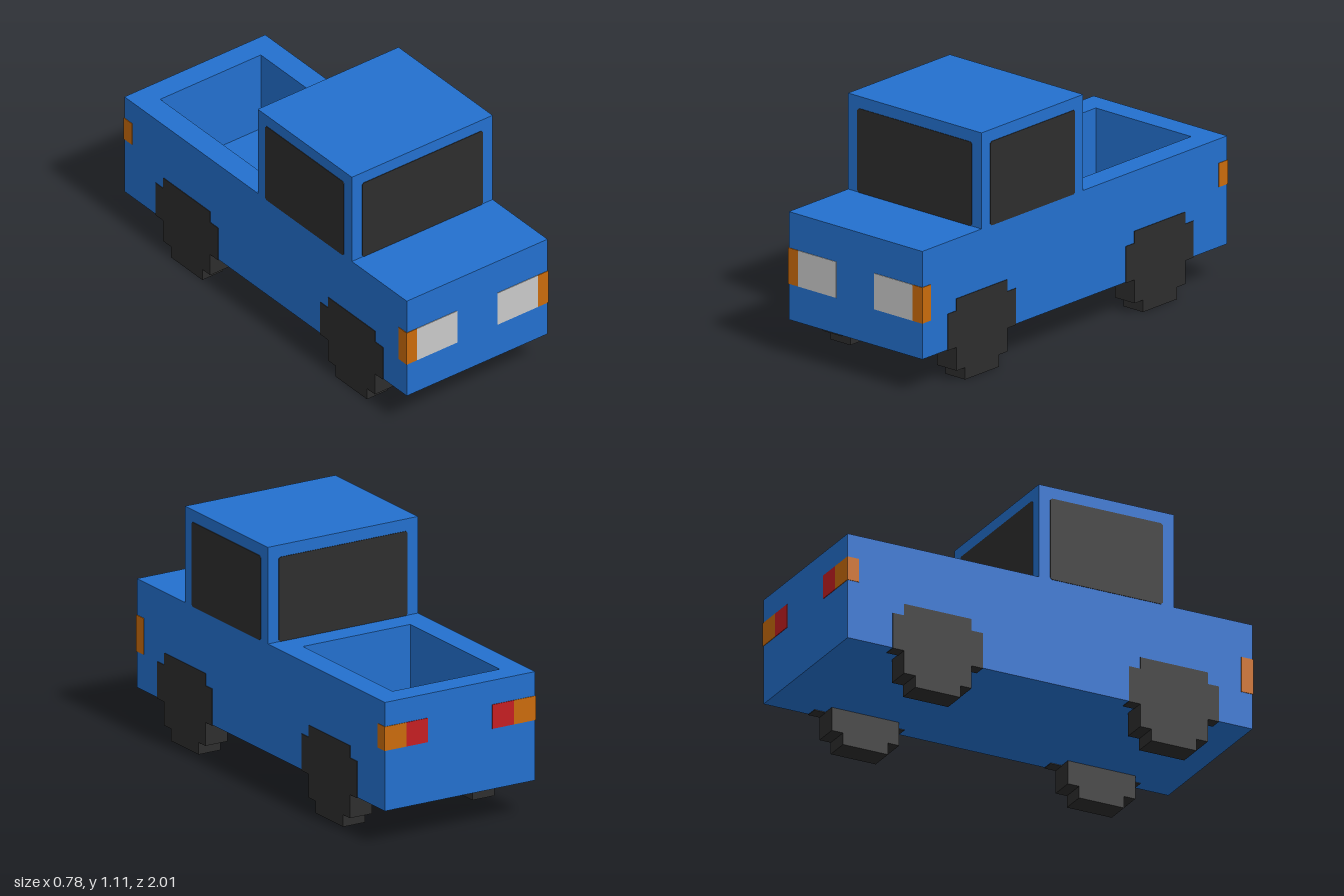
import * as THREE from 'three';

// All part sizes are in pixels of a block grid; 18 pixels make one unit.
const UNIT = 1 / 18;
const SKIN = 0.05; // how far painted plates stand off the surface

const paint = (name, color) => {
  const m = new THREE.MeshStandardMaterial({ color });
  m.name = name;
  return m;
};

export function createModel() {
  const blue = paint('blue body paint', 0x2370ce);
  const dark = paint('dark glass and rubber', 0x2d2d2d);
  const grey = paint('headlight grey', 0xc9c9c9);
  const orange = paint('indicator orange', 0xca6b0c);
  const red = paint('tail light red', 0xc41e22);

  const model = new THREE.Group();
  model.name = 'pickupTruck';
  model.scale.setScalar(UNIT);

  const add = (name, geometry, material, parent = model) => {
    const mesh = new THREE.Mesh(geometry, material);
    mesh.name = name;
    parent.add(mesh);
    return mesh;
  };

  // Box given by its min and max corners
  const block = (name, [x0, y0, z0], [x1, y1, z1], material, parent) => {
    const g = new THREE.BoxGeometry(x1 - x0, y1 - y0, z1 - z0);
    g.translate((x0 + x1) / 2, (y0 + y1) / 2, (z0 + z1) / 2);
    return add(name, g, material, parent);
  };

  // Rectangle with slightly clipped corners
  const windowPane = (name, w, h, place) => {
    const c = 0.15, a = w / 2, b = h / 2;
    const pts = [[-a + c, -b], [a - c, -b], [a, -b + c], [a, b - c],
      [a - c, b], [-a + c, b], [-a, b - c], [-a, -b + c]];
    const shape = new THREE.Shape(pts.map(p => new THREE.Vector2(...p)));
    const pane = add(name, new THREE.ExtrudeGeometry(shape, { depth: SKIN, bevelEnabled: false }), dark);
    pane.position.set(place.x, place.y, place.z);
    pane.rotation.y = place.turn;
  };

  // Lower body, and upper body with the open bed cut out
  block('lowerBody', [-7, 3, -18], [7, 5, 18], blue);
  const rect = (path, x, y0, y1) =>
    path.moveTo(-x, y0).lineTo(x, y0).lineTo(x, y1).lineTo(-x, y1).closePath();
  const deck = rect(new THREE.Shape(), 7, -18, 18);
  deck.holes.push(rect(new THREE.Path(), 5, 3, 16)); // shape y becomes -z
  const deckGeometry = new THREE.ExtrudeGeometry(deck, { depth: 7, bevelEnabled: false });
  deckGeometry.rotateX(-Math.PI / 2).translate(0, 5, 0);
  add('upperBody', deckGeometry, blue);

  // Cab and windows
  block('cab', [-7, 12, -1], [7, 20, 11], blue);
  windowPane('windscreen', 12, 7, { x: 0, y: 15.5, z: 11, turn: 0 });
  windowPane('rearWindow', 12, 7, { x: 0, y: 15.5, z: -1, turn: Math.PI });
  for (const s of [1, -1]) {
    windowPane(s > 0 ? 'leftWindow' : 'rightWindow', 10, 7,
      { x: 7 * s, y: 15.5, z: 5, turn: s * Math.PI / 2 });
  }

  for (const s of [1, -1]) {
    const side = new THREE.Group();
    side.name = s > 0 ? 'leftSide' : 'rightSide';
    model.add(side);
    // Block spanning x0..x1 on this side
    const mirrored = (name, [x0, y0, z0], [x1, y1, z1], material) =>
      block(name, [Math.min(s * x0, s * x1), y0, z0], [Math.max(s * x0, s * x1), y1, z1], material, side);

    // Lamps; the orange ones wrap round the corners
    mirrored('headlight', [2, 6, 18 - SKIN], [6, 9, 18 + SKIN], grey);
    mirrored('frontIndicator', [6, 6, 17], [7 + SKIN, 9, 18 + SKIN], orange);
    mirrored('tailLight', [3, 8, -18 - SKIN], [5, 10, -18 + SKIN], red);
    mirrored('rearIndicatorBack', [5, 8, -18 - SKIN], [7 + SKIN, 10, -18 + SKIN], orange);
    mirrored('rearIndicatorSide', [7 - SKIN, 8, -18], [7 + SKIN, 10, -17], orange);

    // Stepped wheels: [half length, bottom, top, inner x]
    const steps = [[2, 0, 1, 5], [3, 1, 3, 5], [4, 3 - SKIN, 6, 6], [3, 6, 7, 6]];
    for (const [name, z] of [['frontWheel', 11], ['rearWheel', -10]]) {
      for (const [half, y0, y1, inner] of steps) {
        mirrored(name, [inner, y0, z - half], [7 + SKIN, y1, z + half], dark);
      }
    }

    // Wheel housings inside the bed
    mirrored('wheelHousing', [4, 5, -14], [5, 6, -6], blue);
    mirrored('wheelHousingTop', [4, 6, -13], [5, 7, -7], blue);
  }

  const root = new THREE.Group();
  root.name = 'truck';
  root.add(model);
  return root;
}
